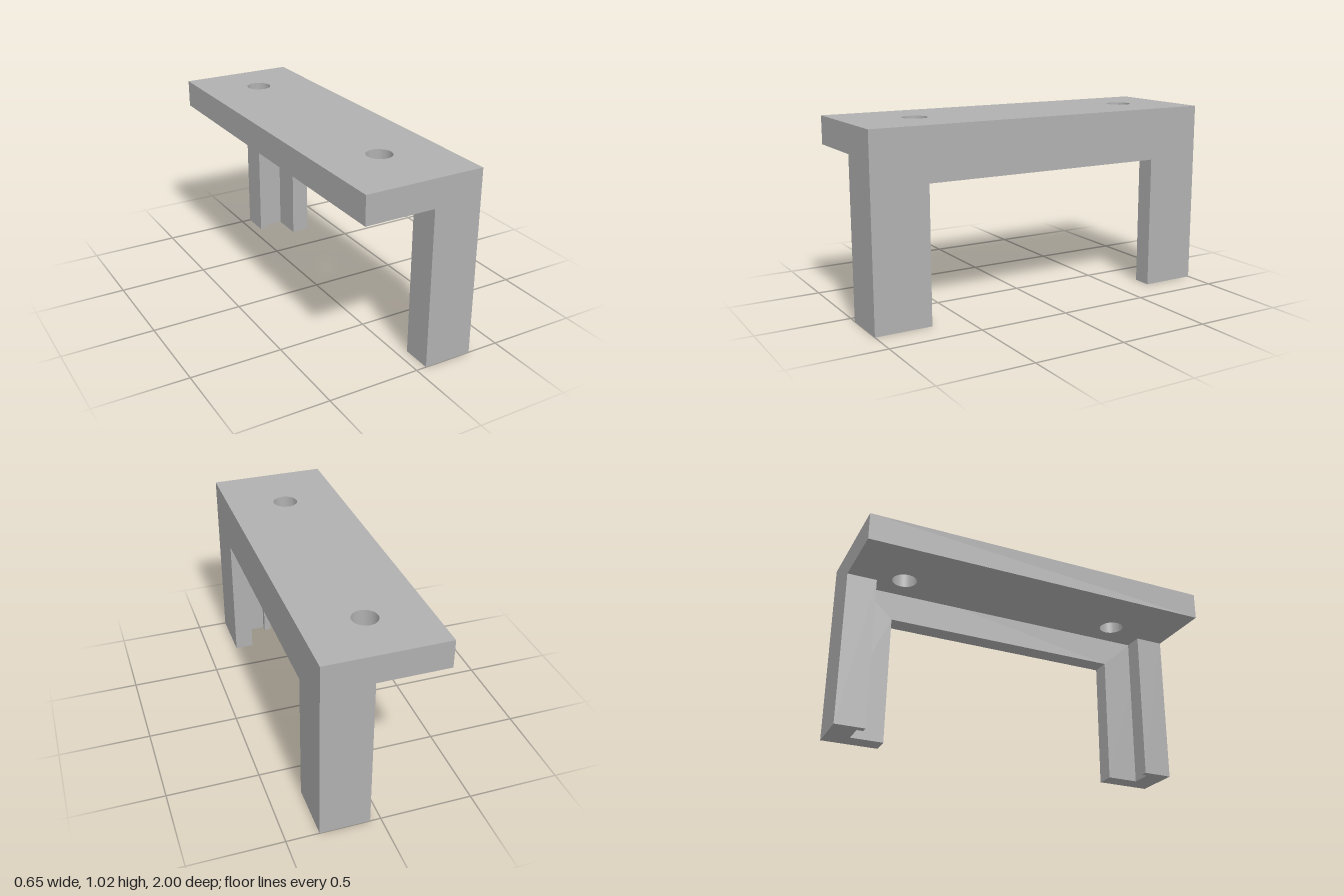
import * as THREE from 'three';
import { toCreasedNormals } from 'three/addons/utils/BufferGeometryUtils.js';

const TOP = 1.02;       // overall height
const HALF_X = 0.325;   // half width of the plate
const LIP_X = 0.057;    // inner face of the legs
const GROOVE_X = 0.097; // where the lip ends and the groove starts
const FRAME_X = 0.22;   // where the groove ends and the outer frame starts
const UNDERSIDE = 0.867;

export function createModel() {
  const group = new THREE.Group();
  const grey = new THREE.MeshStandardMaterial({ color: 0xb0b0b0 });
  grey.name = 'grey';

  const add = (name, geometry) => {
    const mesh = new THREE.Mesh(geometry, grey);
    mesh.name = name;
    group.add(mesh);
    return mesh;
  };

  // Upside-down U in the z-y plane, extruded along x
  const arch = (name, x0, x1, innerZ, innerY) => {
    const shape = new THREE.Shape([
      [-1, 0], [-innerZ, 0], [-innerZ, innerY], [innerZ, innerY],
      [innerZ, 0], [1, 0], [1, TOP], [-1, TOP],
    ].map(([z, y]) => new THREE.Vector2(z, y)));
    const geometry = new THREE.ExtrudeGeometry(shape, { depth: x1 - x0, bevelEnabled: false });
    geometry.rotateY(Math.PI / 2).translate(x0, 0, 0);
    add(name, geometry);
  };

  // Outer frame with skirt, and the recessed layer forming the groove
  arch('outerFrame', FRAME_X, HALF_X, 0.69, 0.733);
  arch('grooveLayer', GROOVE_X, FRAME_X, 0.87, 0.9);

  // Top plate with two screw holes
  const plate = new THREE.Shape([
    [-HALF_X, -1], [GROOVE_X, -1], [GROOVE_X, 1], [-HALF_X, 1],
  ].map(([x, y]) => new THREE.Vector2(x, y)));
  for (const z of [-0.695, 0.613]) {
    plate.holes.push(new THREE.Path().absarc(0, -z, 0.068, 0, Math.PI * 2, true));
  }
  const plateGeometry = new THREE.ExtrudeGeometry(plate, {
    depth: TOP - UNDERSIDE, bevelEnabled: false, curveSegments: 24,
  });
  plateGeometry.rotateX(-Math.PI / 2).translate(0, UNDERSIDE, 0);
  add('topPlate', toCreasedNormals(plateGeometry, 0.6));

  // Narrow retaining lips on the inner side of each leg
  for (const side of [1, -1]) {
    const lip = add(side > 0 ? 'frontLegLip' : 'backLegLip',
      new THREE.BoxGeometry(GROOVE_X - LIP_X, UNDERSIDE, 0.165));
    lip.position.set((GROOVE_X + LIP_X) / 2, UNDERSIDE / 2, side * (1 - 0.165 / 2));
  }

  return group;
}
